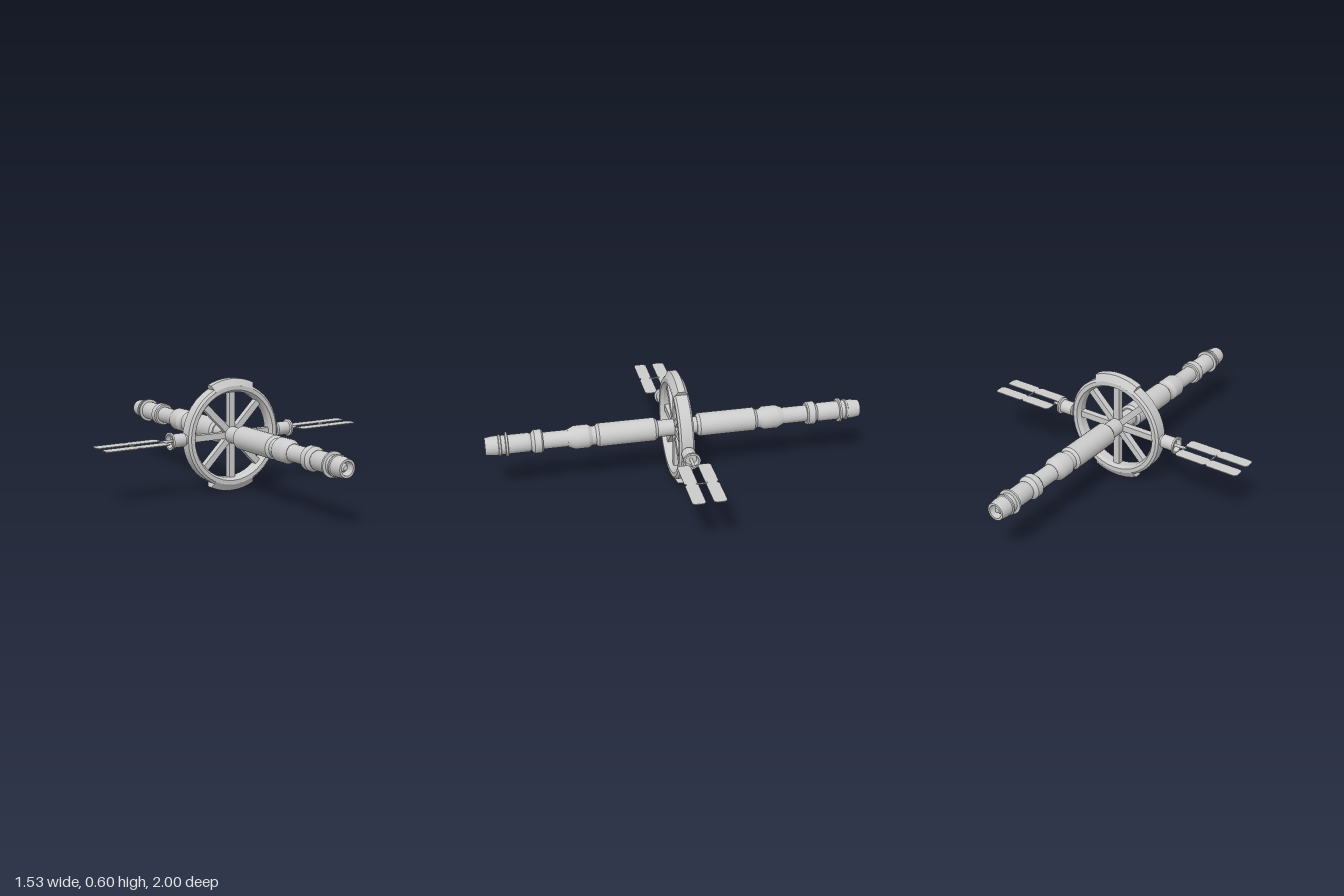
import * as THREE from 'three';
import { toCreasedNormals } from 'three/addons/utils/BufferGeometryUtils.js';

const material = new THREE.MeshStandardMaterial({ color: 0xcccccc });
const thin = new THREE.MeshStandardMaterial({ color: 0xcccccc, side: THREE.DoubleSide });

function add(parent, name, geometry, mat = material) {
  const mesh = new THREE.Mesh(geometry, mat);
  mesh.name = name;
  parent.add(mesh);
  return mesh;
}

// Profile of [radius, height] pairs turned around the y axis
function lathe(profile, segments, start = 0, sweep = Math.PI * 2) {
  const points = profile.map(([r, h]) => new THREE.Vector2(r, h));
  return toCreasedNormals(new THREE.LatheGeometry(points, segments, start, sweep), 0.45);
}

// One long half of the central hull, pointing along +y before it is turned
function makeArm() {
  const arm = new THREE.Group();
  add(arm, 'hullTube', lathe([
    [0.044, 0], [0.044, 0.105], [0.05, 0.105], [0.062, 0.12], [0.062, 0.415],
    [0.05, 0.43], [0.05, 0.45], [0.062, 0.47], [0.062, 0.54], [0.046, 0.575],
    [0.044, 0.575], [0.044, 0.705], [0.056, 0.705], [0.062, 0.712], [0.062, 0.748],
    [0.056, 0.756], [0.044, 0.765], [0.05, 0.778], [0.05, 0.882], [0.064, 0.885],
    [0.064, 0.895], [0.05, 0.898], [0.05, 0.918], [0.056, 0.921], [0.056, 0.93],
    [0.051, 0.933], [0.051, 0.96], [0.045, 1], [0.034, 1], [0.03, 0.955], [0, 0.955],
  ], 24));
  // Docking probe inside the hollow end
  add(arm, 'dockingProbe', lathe([[0.02, 0.955], [0.02, 0.975], [0.012, 0.987], [0, 0.99]], 16));
  return arm;
}

// Raised section on the rim, with closed ends
function makeRimBlock() {
  const block = new THREE.Group();
  const half = 0.45;
  const profile = [[0.25, -0.04], [0.262, -0.04], [0.298, -0.018], [0.298, 0.018], [0.262, 0.04], [0.25, 0.04]];
  add(block, 'rimBlockShell', lathe(profile, 8, -half, half * 2));
  const section = new THREE.Shape(profile.map(([r, h]) => new THREE.Vector2(r, h)));
  for (const angle of [-half, half]) {
    const cap = add(block, 'rimBlockEnd', new THREE.ShapeGeometry(section), thin);
    cap.rotation.y = angle - Math.PI / 2;
  }
  return block;
}

// One half of the wing: two chamfered plates joined at their inner ends
function makePanelGeometry(x0, x1, z0, z1) {
  const c = 0.012;
  const shape = new THREE.Shape([
    [x0 + c, z0], [x1 - c, z0], [x1, z0 + c], [x1, z1 - c],
    [x1 - c, z1], [x0 + c, z1], [x0, z1 - c], [x0, z0 + c],
  ].map(([x, z]) => new THREE.Vector2(x, z)));
  return new THREE.ExtrudeGeometry(shape, { depth: 0.004, bevelEnabled: false })
    .translate(0, 0, -0.002).rotateX(Math.PI / 2);
}

// Side pod and solar wing, extending along +x
function makeSide() {
  const side = new THREE.Group();
  const pod = add(side, 'sidePod', lathe([
    [0.026, 0.255], [0.026, 0.283], [0.036, 0.287], [0.036, 0.355], [0.046, 0.36],
    [0.046, 0.37], [0.036, 0.37], [0.03, 0.345], [0, 0.345],
  ], 20));
  pod.rotation.z = -Math.PI / 2;
  const rod = add(side, 'wingRod', new THREE.CylinderGeometry(0.008, 0.008, 0.08, 10));
  rod.rotation.z = Math.PI / 2;
  rod.position.x = 0.38;
  for (const [x0, x1] of [[0.405, 0.584], [0.584, 0.765]]) {
    for (const [z0, z1] of [[-0.086, -0.019], [0.019, 0.086]]) {
      add(side, 'solarPanel', makePanelGeometry(x0, x1, z0, z1));
    }
  }
  for (const x of [0.412, 0.584]) {
    add(side, 'panelCrossbar', new THREE.BoxGeometry(0.006, 0.006, 0.05)).position.x = x;
  }
  return side;
}

export function createModel() {
  const model = new THREE.Group();
  model.name = 'spaceStation';
  const station = new THREE.Group();
  station.name = 'station';
  station.position.y = 0.298;
  model.add(station);

  // Long hull, front and rear halves
  for (const sign of [1, -1]) {
    const arm = makeArm();
    arm.name = sign > 0 ? 'frontHull' : 'rearHull';
    arm.rotation.x = sign * Math.PI / 2;
    station.add(arm);
  }

  // Wheel rim
  const wheel = new THREE.Group();
  wheel.name = 'wheel';
  wheel.rotation.x = Math.PI / 2;
  station.add(wheel);
  add(wheel, 'rim', lathe([
    [0.228, -0.022], [0.24, -0.04], [0.262, -0.04], [0.274, -0.03], [0.274, 0.03],
    [0.262, 0.04], [0.24, 0.04], [0.228, 0.022], [0.228, -0.022],
  ], 40));
  for (const angle of [0, Math.PI]) {
    const block = makeRimBlock();
    block.name = 'rimBlock';
    block.rotation.y = angle;
    wheel.add(block);
  }

  // Four bars through the hub give eight spokes
  for (let i = 0; i < 4; i++) {
    const spoke = add(station, 'spokePair', new THREE.BoxGeometry(0.034, 0.47, 0.034));
    spoke.rotation.z = i * Math.PI / 4;
  }

  // Pods and wings on both sides
  for (const sign of [1, -1]) {
    const side = makeSide();
    side.name = sign > 0 ? 'leftWing' : 'rightWing';
    side.rotation.y = sign > 0 ? 0 : Math.PI;
    station.add(side);
  }
  return model;
}
